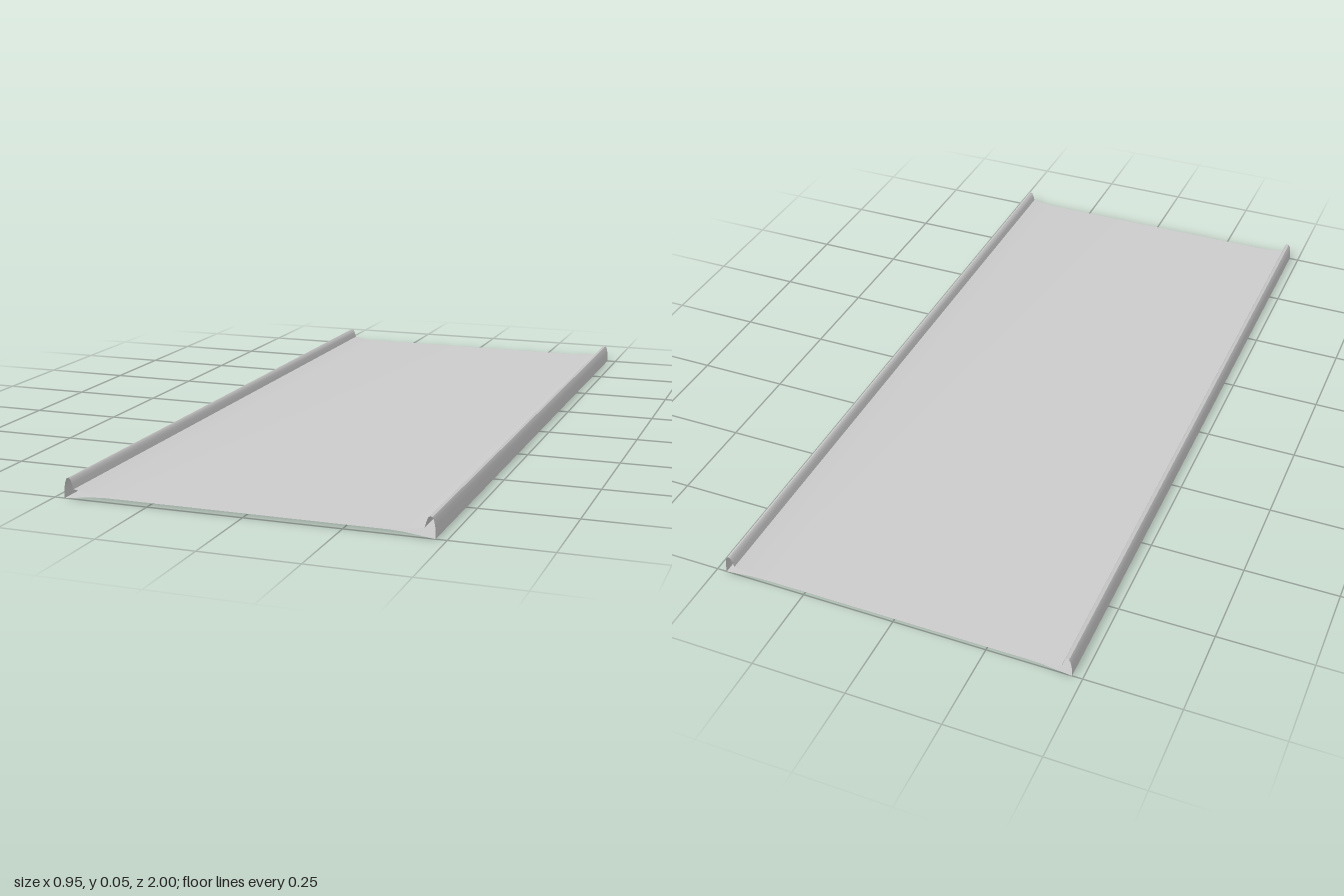
import * as THREE from 'three';
import { toCreasedNormals } from 'three/addons/utils/BufferGeometryUtils.js';

const material = new THREE.MeshStandardMaterial({ color: 0xcccccc, side: THREE.DoubleSide });

// Sweeps an open [x, y] cross-section along z; the faces lie left of the path.
function sweep(name, points) {
  const geometry = new THREE.PlaneGeometry(1, 2, points.length - 1, 1);
  const position = geometry.attributes.position;
  for (let i = 0; i < position.count; i++) {
    const [x, y] = points[i % points.length];
    position.setXYZ(i, x, y, i < points.length ? -1 : 1);
  }
  const mesh = new THREE.Mesh(toCreasedNormals(geometry, 0.6), material);
  mesh.name = name;
  return mesh;
}

const mirror = (points) => points.map(([x, y]) => [-x, y]).reverse();

export function createModel() {
  const group = new THREE.Group();
  group.name = 'channelPanel';

  // Tray floor, curving up gently towards each rim
  const floorHalf = [[0.36, 0.016], [0.39, 0.017], [0.42, 0.02], [0.447, 0.025]];
  group.add(sweep('trayFloor', [...mirror(floorHalf), ...floorHalf]));

  // Raised rims: inner wall, rounded crest, outer wall
  const rim = [
    [0.447, 0.025], [0.451, 0.039], [0.455, 0.049], [0.46, 0.053],
    [0.465, 0.051], [0.469, 0.043], [0.472, 0.028], [0.473, 0],
  ];
  group.add(sweep('leftRim', rim), sweep('rightRim', mirror(rim)));

  // Underside, slightly hollow between its outer edges
  const underHalf = [[0.36, 0.011], [0.4, 0.009], [0.473, 0]];
  group.add(sweep('underside', [...mirror(underHalf), ...underHalf].reverse()));

  return group;
}
